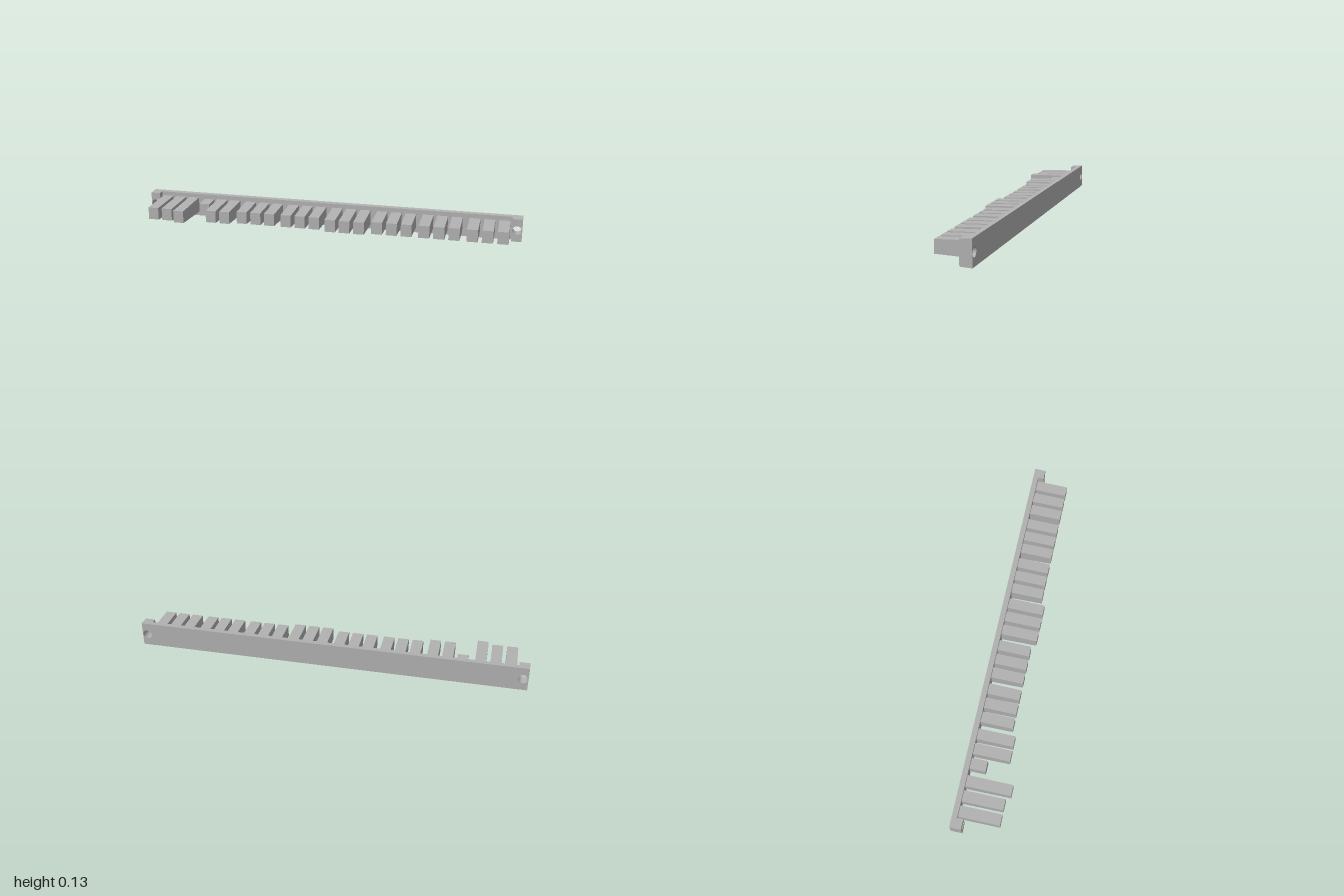
import * as THREE from 'three';

const MID = 0.063;        // mid height of the rail
const BACK = -0.127, FACE = -0.1, LUG_FACE = -0.07;
const HOLE_X = 0.974, HOLE_R = 0.023;

// Narrow a geometry in y as z grows, about the mid height
function draft(geo, halfAt, z0) {
  const p = geo.attributes.position;
  for (let i = 0; i < p.count; i++) {
    const k = halfAt(p.getZ(i)) / halfAt(z0);
    p.setY(i, MID + (p.getY(i) - MID) * k);
  }
  geo.computeVertexNormals();
  return geo;
}

// Rectangular slab with round screw holes, extruded along z
function slab(x0, x1, z0, z1, holes) {
  const half = (z) => 0.063 - 0.06 * (z - BACK);
  const h = half(z0);
  const shape = new THREE.Shape([
    new THREE.Vector2(x0, MID - h), new THREE.Vector2(x1, MID - h),
    new THREE.Vector2(x1, MID + h), new THREE.Vector2(x0, MID + h),
  ]);
  for (const x of holes) {
    shape.holes.push(new THREE.Path().absarc(x, MID, HOLE_R, 0, Math.PI * 2, true));
  }
  const geo = new THREE.ExtrudeGeometry(shape, { depth: z1 - z0, bevelEnabled: false, curveSegments: 16 });
  geo.translate(0, 0, z0);
  return draft(geo, half, z0);
}

export function createModel() {
  const group = new THREE.Group();
  const grey = new THREE.MeshStandardMaterial({ color: 0xb2b2b2 });
  grey.name = 'grey plastic';

  const add = (name, geo) => {
    const mesh = new THREE.Mesh(geo, grey);
    mesh.name = name;
    group.add(mesh);
  };

  // Backing rail and the thicker lug at each end
  add('rail', slab(-1, 1, BACK, FACE, [-HOLE_X, HOLE_X]));
  add('rightLug', slab(-1, -0.949, FACE, LUG_FACE, [-HOLE_X]));
  add('leftLug', slab(0.949, 1, FACE, LUG_FACE, [HOLE_X]));

  // Eight groups of three teeth; each tooth is given by its tip z
  const A = 0.065, B = 0.086;
  const tips = [
    [0.106, 0.106, 0.128], [-0.02, B, B], [A, A, A], [A, A, A],
    [B, B, B], [A, A, A], [A, A, A], [A, A, A],
  ];
  tips.forEach((trio, g) => trio.forEach((tip, t) => {
    const x = (g - 3.5) * 0.239 + (t - 1) * 0.075;
    const half = (z) => 0.032 + 0.034 * (tip - z);
    const length = tip - FACE;
    const geo = new THREE.BoxGeometry(0.055, 2 * half(FACE), length);
    geo.translate(x, MID + 0.001, FACE + length / 2);
    add(`tooth${g * 3 + t + 1}`, draft(geo, half, FACE));
  }));

  return group;
}
